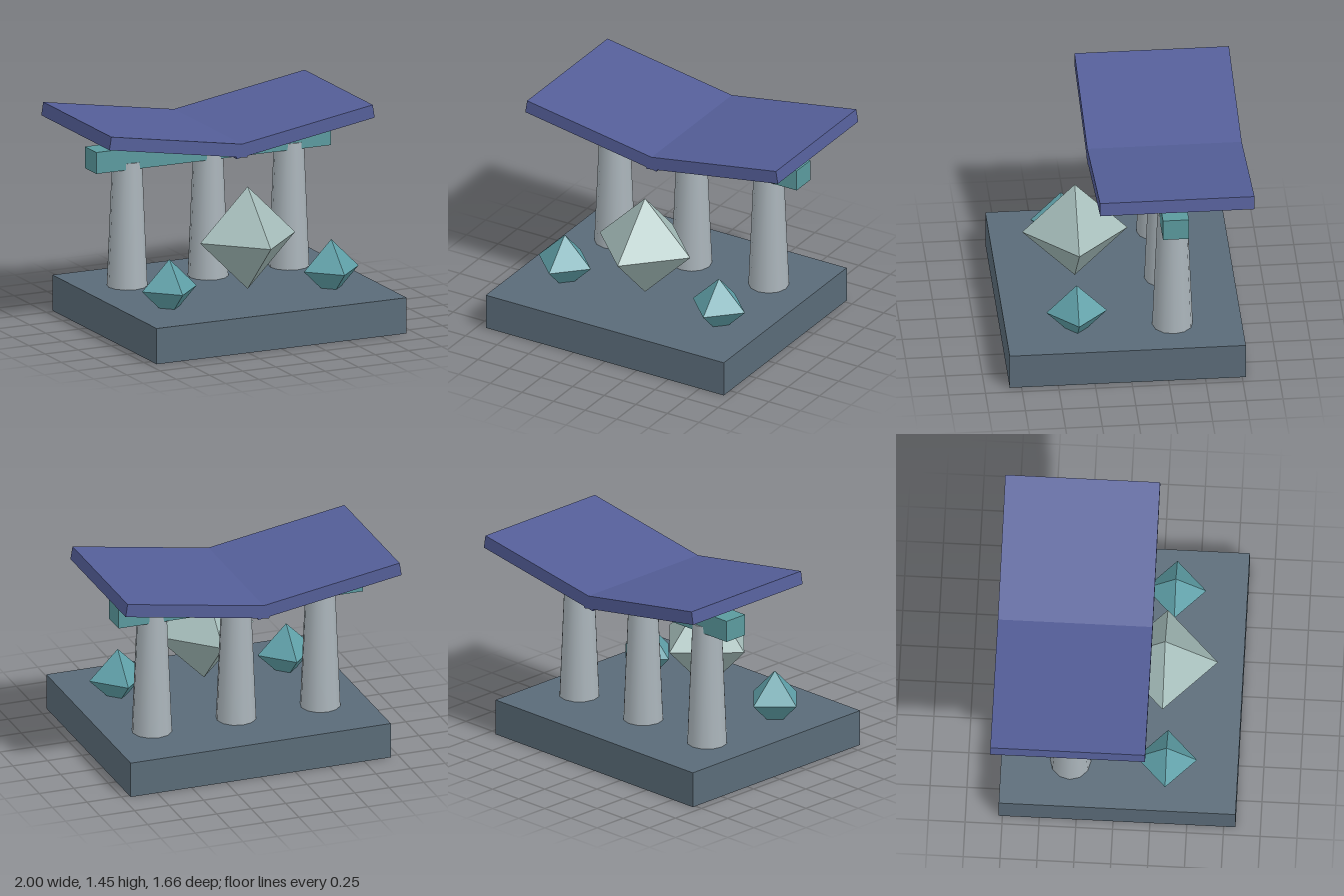
import * as THREE from 'three';

const material = (color, flatShading = false) =>
  new THREE.MeshStandardMaterial({ color, flatShading });

export function createModel() {
  const model = new THREE.Group();
  model.name = 'crystalShrine';

  const stone = material(0x5a6b78);
  const pillarStone = material(0xaab4ba);
  const teal = material(0x5b9a9e);
  const roofBlue = material(0x545e98);
  const paleCrystal = material(0xa5bdba, true);
  const tealCrystal = material(0x5fa0a8, true);

  function add(name, geometry, mat, x, y, z) {
    const mesh = new THREE.Mesh(geometry, mat);
    mesh.name = name;
    mesh.position.set(x, y, z);
    model.add(mesh);
    return mesh;
  }

  const backZ = -0.305; // line of the pillars, beam and roof

  // Square plinth
  add('base', new THREE.BoxGeometry(1.885, 0.25, 1.605), stone, 0, 0.125, 0.0275);

  // Three tapered pillars under a cross beam
  const pillar = new THREE.CylinderGeometry(0.102, 0.138, 0.875, 12);
  [['rightPillar', -0.61], ['middlePillar', 0], ['leftPillar', 0.61]].forEach(([name, x]) =>
    add(name, pillar, pillarStone, x, 0.6875, backZ));
  add('beam', new THREE.BoxGeometry(1.77, 0.15, 0.177), teal, 0, 1.155, backZ);

  // Roof slabs tilted up to both sides, overlapping along the valley
  const slab = new THREE.BoxGeometry(1.054, 0.092, 1.05);
  for (const side of [-1, 1]) {
    const roof = add(side > 0 ? 'leftRoof' : 'rightRoof', slab, roofBlue, side * 0.4725, 1.3205, backZ);
    roof.rotation.z = side * 0.163;
  }

  // Floating crystal and two smaller ones sunk into the base
  add('largeCrystal', new THREE.OctahedronGeometry(0.358), paleCrystal, 0, 0.655, 0.305);
  const smallCrystal = new THREE.OctahedronGeometry(0.206);
  for (const side of [-1, 1]) {
    add(side > 0 ? 'leftCrystal' : 'rightCrystal', smallCrystal, tealCrystal, side * 0.61, 0.378, 0.346);
  }

  return model;
}
